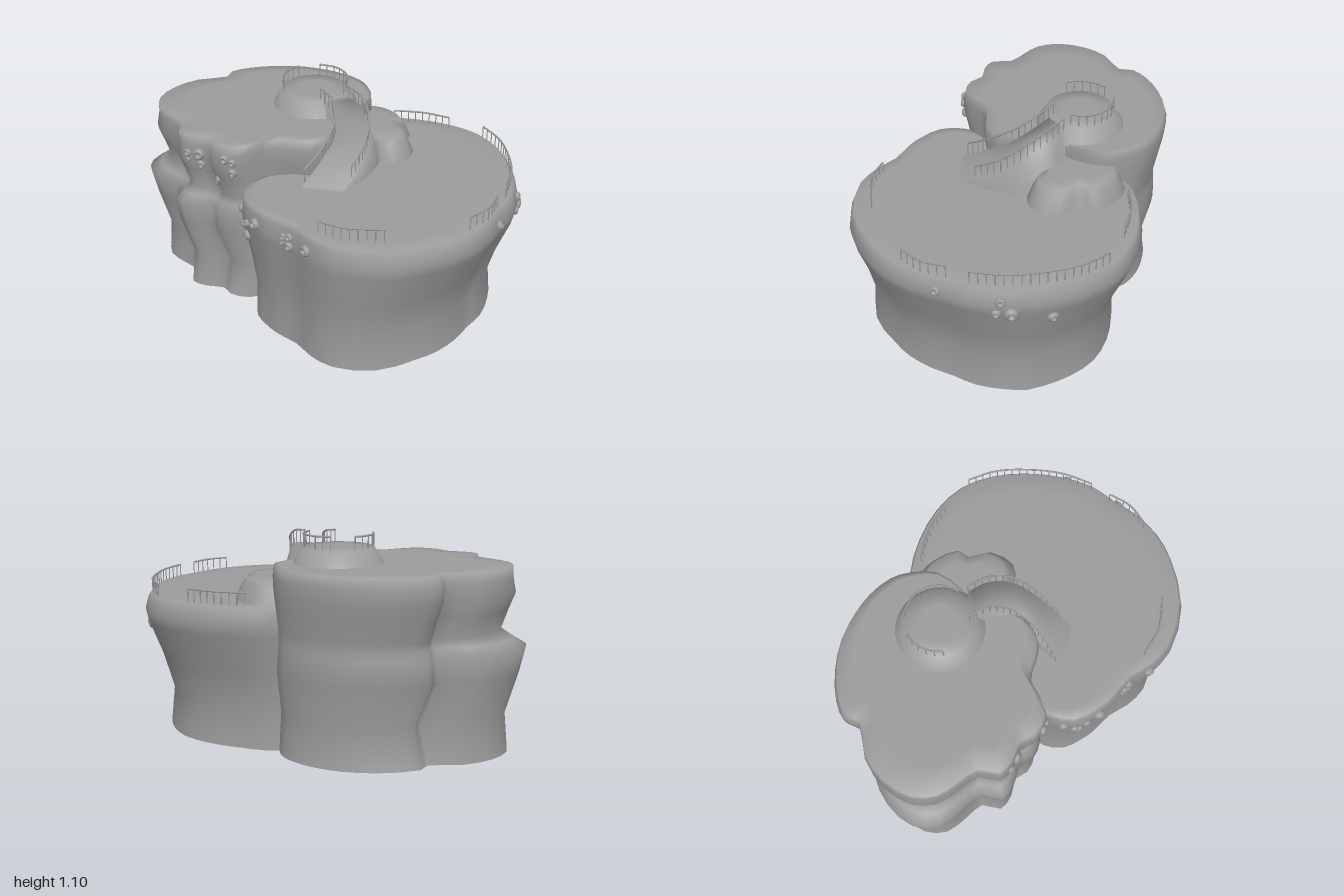
import * as THREE from 'three';
import { mergeGeometries } from 'three/addons/utils/BufferGeometryUtils.js';

const rock = new THREE.MeshStandardMaterial({ color: 0x9c9c9c, side: THREE.DoubleSide });
const V = (x, y, z) => new THREE.Vector3(x, y, z);
const clamp = THREE.MathUtils.clamp;
const PER = 2; // samples per outline point

function mesh(name, geo) {
  const m = new THREE.Mesh(geo, rock);
  m.name = name;
  return m;
}

function smoothSurface(pos, idx) {
  const g = new THREE.BufferGeometry();
  g.setAttribute('position', new THREE.Float32BufferAttribute(pos, 3));
  g.setIndex(idx);
  g.computeVertexNormals();
  return g;
}

// Rock body: a closed outline [x, z] scaled about a centre at each level [y, scale, extra],
// where extra scaling applies by a weight that varies round the outline.
// Wall quads beyond outline point `open` are left out below `openY`, so the shells join inside.
function rockBody(name, outline, centre, levels, weight = () => 0, open = Infinity, openY = 0) {
  const curve = new THREE.CatmullRomCurve3(outline.map(([x, z]) => V(x, 0, z)), true, 'centripetal');
  const n = outline.length * PER;
  const ring = curve.getPoints(n).slice(0, n);
  const pos = [], idx = [];
  for (const [y, s, extra = 0] of levels) {
    for (const p of ring) {
      const k = s + extra * weight(p.x, p.z);
      pos.push(centre[0] + (p.x - centre[0]) * k, y, centre[1] + (p.z - centre[1]) * k);
    }
  }
  for (let l = 0; l < levels.length - 1; l++) {
    for (let i = 0; i < n; i++) {
      if (i >= open * PER && levels[l + 1][0] <= openY) continue;
      const a = l * n + i, b = l * n + (i + 1) % n;
      idx.push(a, a + n, b, b, a + n, b + n);
    }
  }

  // flat top inside the last level
  const last = pos.length - n * 3;
  const shape = new THREE.Shape(ring.map((_, i) => new THREE.Vector2(pos[last + i * 3], -pos[last + i * 3 + 2])));
  const top = new THREE.ShapeGeometry(shape).rotateX(-Math.PI / 2).translate(0, levels.at(-1)[0], 0);

  const g = new THREE.Group();
  g.name = name;
  g.add(mesh(name + 'Wall', smoothSurface(pos, idx)), mesh(name + 'Top', top));
  return g;
}

// Railing: a handrail over evenly spaced posts, following points on the ground
function railing(name, points, height = 0.065) {
  const path = new THREE.CatmullRomCurve3(points.map(p => V(...p)));
  const count = Math.max(3, Math.round(path.getLength() / 0.04));
  const raised = new THREE.CatmullRomCurve3(path.getSpacedPoints(count).map(p => p.setY(p.y + height)));
  const parts = [new THREE.TubeGeometry(raised, count * 2, 0.005, 5)];
  for (let i = 0; i <= count; i++) {
    const p = path.getPointAt(i / count);
    parts.push(new THREE.CylinderGeometry(0.003, 0.003, height + 0.02, 5).translate(p.x, p.y + height / 2 - 0.01, p.z));
  }
  return mesh(name, mergeGeometries(parts));
}

// Barnacle: a rounded cone with a hollow mouth, standing along +y
const barnacleGeo = new THREE.LatheGeometry(
  [[0.95, -0.1], [1, 0.15], [0.85, 0.5], [0.6, 0.68], [0.42, 0.6], [0.35, 0.3], [0, 0.2]]
    .map(p => new THREE.Vector2(...p)), 12);

// Set a barnacle where a ray meets the rock wall
function barnacle(body, origin, direction, size) {
  const hit = new THREE.Raycaster(origin, direction).intersectObject(body, true)[0];
  if (!hit) return null;
  const normal = hit.face.normal.clone();
  if (normal.dot(direction) > 0) normal.negate();
  const m = mesh('barnacle', barnacleGeo);
  m.position.copy(hit.point);
  m.quaternion.setFromUnitVectors(V(0, 1, 0), normal);
  m.scale.setScalar(size);
  return m;
}

// Ramp: a strip between two edges, with sloped sides down to the ground
function ramp(leftPts, rightPts) {
  const N = 18, pos = [], idx = [];
  const [left, right] = [leftPts, rightPts].map(a => new THREE.CatmullRomCurve3(a.map(p => V(...p))).getPoints(N));
  for (let i = 0; i <= N; i++) {
    const l = left[i], r = right[i];
    const out = r.clone().sub(l).setY(0).normalize();
    const lf = l.clone().addScaledVector(out, -0.25 * (l.y - 0.74)).setY(0.74);
    const rf = r.clone().addScaledVector(out, 0.3 * (r.y - 0.74)).setY(0.74);
    for (const p of [lf, l, r, rf]) pos.push(p.x, p.y, p.z);
  }
  for (let i = 0; i < N; i++) {
    for (let k = 0; k < 3; k++) {
      const a = i * 4 + k, b = a + 4;
      idx.push(a, b, a + 1, a + 1, b, b + 1);
    }
  }
  return mesh('ramp', smoothSurface(pos, idx));
}

export function createModel() {
  const model = new THREE.Group();
  model.name = 'rockPlatform';

  // lower rock, front and left, drawn in more at the diagonals of its foot
  const diagonal = (x, z) => {
    const dx = x + 0.05, dz = z - 0.1;
    return 2 * Math.abs(dx * dz) / (dx * dx + dz * dz) * Math.min(1, Math.abs(x) / 0.5);
  };
  const lower = rockBody('lowerRock', [
    [0.14, -0.5], [0.23, -0.565], [0.35, -0.59], [0.54, -0.56], [0.73, -0.48], [0.88, -0.35], [0.96, -0.18],
    [0.99, 0], [0.98, 0.2], [0.93, 0.38], [0.85, 0.5], [0.77, 0.63], [0.65, 0.75], [0.5, 0.83], [0.25, 0.885],
    [0, 0.83], [-0.12, 0.73], [-0.2, 0.62], [-0.32, 0.53], [-0.39, 0.45], [-0.45, 0.34], [-0.43, 0.2],
    [-0.35, 0.12], [-0.25, 0.1], [-0.15, 0.07], [-0.05, 0.04], [0, -0.06], [0.02, -0.2], [0.1, -0.32], [0.16, -0.45],
  ], [-0.05, 0.1], [[0, 0.905, -0.06], [0.2, 0.885, -0.06], [0.4, 0.935, -0.045], [0.6, 0.995, -0.015], [0.66, 1],
    [0.72, 0.985], [0.75, 0.965], [0.75, 0.85]], diagonal, 24, 0.74);

  // upper rock, back and right, with a ledge on its outer side
  const ledge = (x, z) => clamp((-x - 0.45 + 0.15 * (z + 0.4)) / 0.5, 0, 1);
  const upper = rockBody('upperRock', [
    [-0.3, 0.1], [-0.4, 0.16], [-0.5, 0.19], [-0.6, 0.14], [-0.64, 0.07], [-0.73, 0.04], [-0.8, -0.02],
    [-0.79, -0.13], [-0.86, -0.22], [-0.93, -0.32], [-0.94, -0.45], [-0.87, -0.59], [-0.75, -0.69],
    [-0.59, -0.73], [-0.56, -0.81], [-0.46, -0.86], [-0.3, -0.885], [-0.13, -0.87], [0, -0.82],
    [0.1, -0.76], [0.2, -0.66], [0.24, -0.56], [0.25, -0.42], [0.16, -0.28], [0.06, -0.18],
    [0.04, -0.02], [0, 0.08], [-0.1, 0.13], [-0.2, 0.12],
  ], [0.1, -0.3], [[0, 0.872, 0.115], [0.2, 0.805, 0.165], [0.42, 0.925, 0.105], [0.55, 0.905, 0.155],
    [0.59, 0.895, 0.1], [0.63, 0.905, 0.03], [0.74, 0.95, 0.02], [0.82, 0.985, 0.015], [0.9, 1, -0.015],
    [0.95, 0.97, 0.015], [0.95, 0.85]], ledge, 22, 0.7);

  // lobed boulder beside the summit
  const boulder = rockBody('boulder', [
    [0.08, -0.45], [0.28, -0.48], [0.36, -0.42], [0.41, -0.32], [0.38, -0.27], [0.41, -0.17],
    [0.36, -0.08], [0.27, -0.07], [0.21, -0.14], [0.1, -0.16],
  ], [0.2, -0.28], [[0.74, 1.27], [0.78, 1.2], [0.83, 1.09], [0.865, 0.98], [0.87, 0.7], [0.87, 0.4]]);
  model.add(lower, upper, boulder);

  // round summit
  const summit = mesh('summit', new THREE.LatheGeometry(
    [[0.235, -0.09], [0.18, 0], [0.1, 0], [0, 0]].map(p => new THREE.Vector2(...p)), 32));
  summit.position.set(-0.065, 1.03, -0.37);
  model.add(summit);

  // ramp from the lower top to the summit, with its railings
  const leftEdge = [[-0.04, 1.028, -0.22], [0.02, 1.01, -0.13], [0.03, 0.94, 0], [-0.04, 0.85, 0.13], [-0.15, 0.755, 0.25]];
  const rightEdge = [[0.115, 1.028, -0.24], [0.175, 1.015, -0.15], [0.21, 0.955, -0.03], [0.18, 0.86, 0.11], [0.06, 0.755, 0.3]];
  model.add(ramp(leftEdge, rightEdge));
  model.add(railing('rampRailingRight', leftEdge.slice(0, 4).concat([[-0.13, 0.775, 0.22]])));
  model.add(railing('rampRailingLeft', rightEdge.slice(0, 4).concat([[0.11, 0.79, 0.22]])));

  // summit railings, as arcs in degrees from +x toward +z
  for (const [a, b] of [[-80, 30], [168, 240]]) {
    const pts = [0, 0.25, 0.5, 0.75, 1].map(t => {
      const r = THREE.MathUtils.degToRad(a + (b - a) * t);
      return [-0.065 + 0.175 * Math.cos(r), 1.03, -0.37 + 0.175 * Math.sin(r)];
    });
    model.add(railing('summitRailing', pts));
  }

  // railings round the lower rim
  [
    [[-0.07, 0.68], [0.05, 0.745], [0.24, 0.765]],
    [[0.82, 0.47], [0.76, 0.58], [0.66, 0.66]],
    [[0.88, 0.37], [0.935, 0.2], [0.945, 0], [0.925, -0.16], [0.865, -0.3]],
    [[0.39, -0.52], [0.55, -0.49], [0.69, -0.42]],
  ].forEach(line => model.add(railing('rimRailing', line.map(([x, z]) => [x, 0.75, z]))));

  // barnacles on the walls: [x or z, y, size], grouped by the side they sit on
  model.updateMatrixWorld(true);
  const front = u => [V(u[0], u[1], 3), V(0, 0, -1)];
  const left = u => [V(3, u[1], u[0]), V(-1, 0, 0)];
  const right = u => [V(-3, u[1], u[0]), V(1, 0, 0)];
  const clusters = [
    [upper, front, [[-0.74, 0.85, 0.022], [-0.68, 0.85, 0.032], [-0.67, 0.79, 0.025], [-0.74, 0.81, 0.015],
      [-0.54, 0.88, 0.027], [-0.5, 0.865, 0.023], [-0.5, 0.805, 0.026], [-0.58, 0.725, 0.02], [-0.59, 0.69, 0.017]]],
    [lower, front, [[-0.38, 0.67, 0.032], [-0.24, 0.67, 0.02], [-0.21, 0.68, 0.023], [-0.21, 0.63, 0.026],
      [-0.245, 0.64, 0.018], [-0.13, 0.67, 0.03], [0.83, 0.68, 0.025]]],
    [lower, left, [[0.24, 0.68, 0.026], [0.26, 0.61, 0.025], [0.19, 0.61, 0.037], [-0.01, 0.555, 0.031]]],
    [lower, right, [[0.28, 0.66, 0.026], [0.34, 0.6, 0.022], [0.36, 0.545, 0.03], [0.4, 0.64, 0.022]]],
  ];
  for (const [body, ray, spots] of clusters) {
    for (const s of spots) {
      const b = barnacle(body, ...ray(s), s[2]);
      if (b) model.add(b);
    }
  }
  return model;
}
